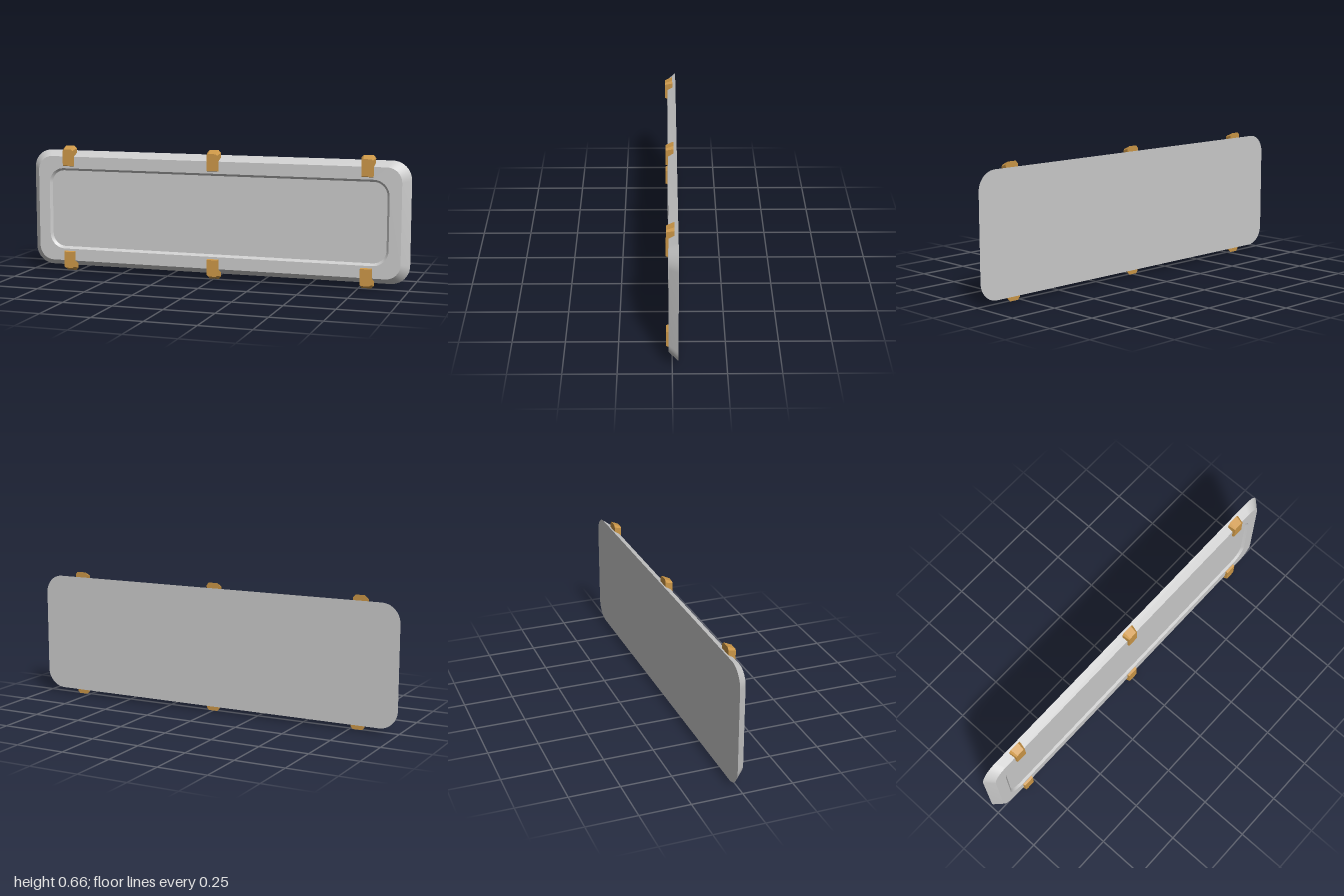
import * as THREE from 'three';
import { toCreasedNormals } from 'three/addons/utils/BufferGeometryUtils.js';

const MID_Y = 0.332;

// Counter-clockwise rounded rectangle around the origin, at depth z
function roundedRing(halfW, halfH, r, z, seg = 10) {
  const pts = [];
  [[1, 1], [-1, 1], [-1, -1], [1, -1]].forEach(([sx, sy], k) => {
    for (let i = 0; i <= seg; i++) {
      const a = (k + i / seg) * Math.PI / 2;
      pts.push([sx * (halfW - r) + r * Math.cos(a), sy * (halfH - r) + r * Math.sin(a), z]);
    }
  });
  return pts;
}

// Clip outline: square inner end, chamfered outer end
function clipRing(halfW, y0, y1, cx, cy, z) {
  return [[-halfW, y0, z], [halfW, y0, z], [halfW, y1 - cy, z],
    [halfW - cx, y1, z], [-halfW + cx, y1, z], [-halfW, y1 - cy, z]];
}

// Skin successive rings and close both ends with fans
function loft(rings) {
  const pos = [];
  const tri = (...p) => p.forEach((v) => pos.push(...v));
  const n = rings[0].length;
  const centre = (ring) => [0, 1, 2].map((k) => ring.reduce((s, p) => s + p[k], 0) / n);
  const back = rings[0], front = rings[rings.length - 1];
  const cb = centre(back), cf = centre(front);
  for (let i = 0; i < n; i++) {
    const j = (i + 1) % n;
    for (let k = 0; k < rings.length - 1; k++) {
      const a = rings[k], b = rings[k + 1];
      tri(a[i], a[j], b[j]);
      tri(a[i], b[j], b[i]);
    }
    tri(cb, back[j], back[i]);
    tri(cf, front[i], front[j]);
  }
  const geo = new THREE.BufferGeometry();
  geo.setAttribute('position', new THREE.Float32BufferAttribute(pos, 3));
  return toCreasedNormals(geo, 0.5);
}

export function createModel() {
  const model = new THREE.Group();
  const grey = new THREE.MeshStandardMaterial({ color: 0xcccccc });
  const brass = new THREE.MeshStandardMaterial({ color: 0xcc9747 });

  // Bevelled panel with a shallow recessed face
  const panel = new THREE.Mesh(loft([
    roundedRing(1, 0.305, 0.095, -0.028),
    roundedRing(0.96, 0.275, 0.075, 0.016),
    roundedRing(0.9, 0.213, 0.08, 0.016),
    roundedRing(0.888, 0.201, 0.068, 0.004),
  ]), grey);
  panel.name = 'panel';
  panel.position.y = MID_Y;
  model.add(panel);

  // Three clips along the top edge and three turned over along the bottom
  const clipGeo = loft([
    clipRing(0.036, 0.216, 0.33, 0.012, 0.013, -0.011),
    clipRing(0.028, 0.228, 0.313, 0.008, 0.007, 0.028),
  ]);
  for (const [row, turn] of [['upper', 0], ['lower', Math.PI]]) {
    const clips = new THREE.Group();
    clips.name = row + 'Clips';
    clips.position.y = MID_Y;
    clips.rotation.z = turn;
    for (const x of [-0.79, 0, 0.79]) {
      const clip = new THREE.Mesh(clipGeo, brass);
      clip.name = row + 'Clip';
      clip.position.x = x;
      clips.add(clip);
    }
    model.add(clips);
  }
  return model;
}
